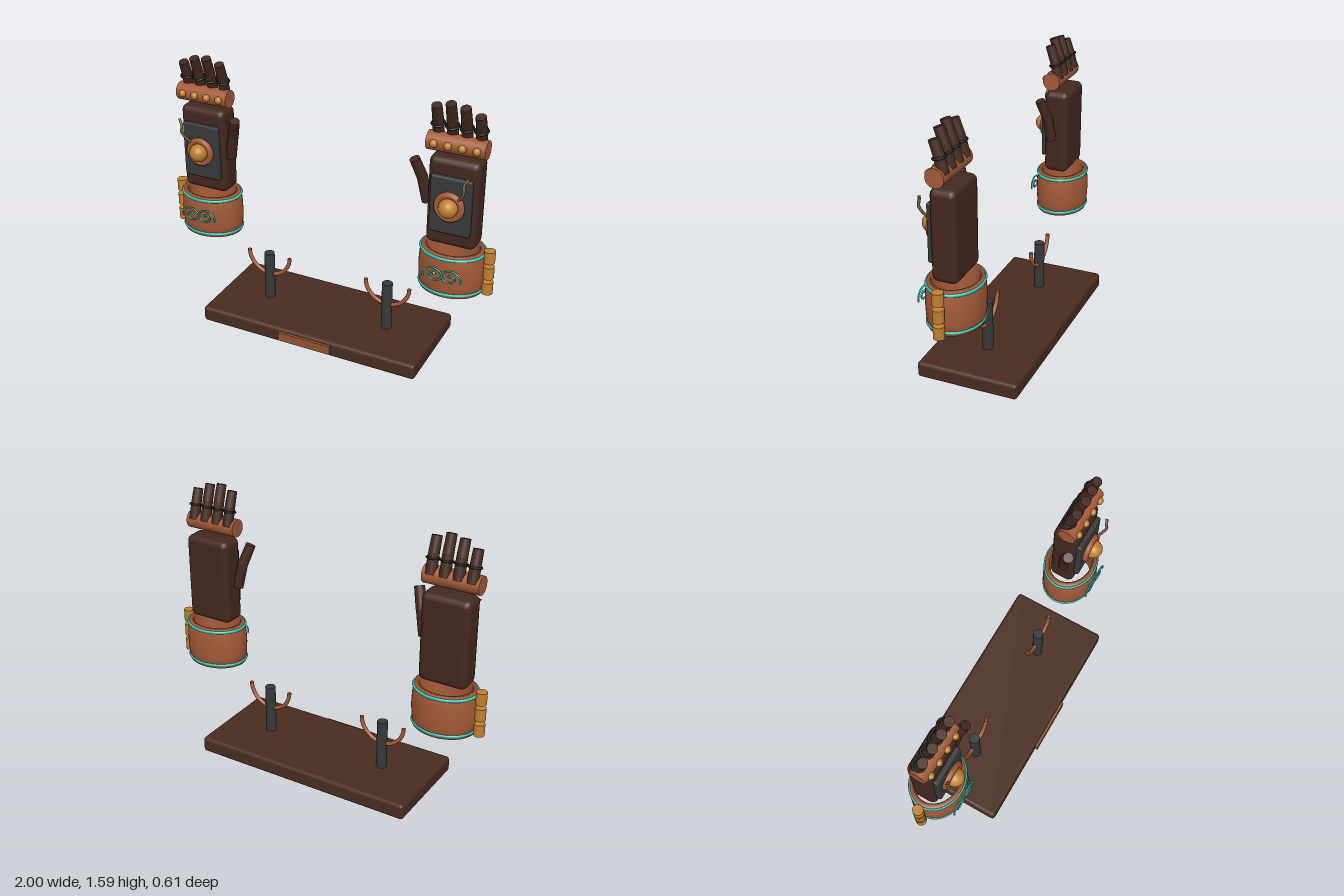
import * as THREE from 'three';
import { RoundedBoxGeometry } from 'three/addons/geometries/RoundedBoxGeometry.js';

const mat = (name, color) => {
  const m = new THREE.MeshStandardMaterial({ color });
  m.name = name;
  return m;
};

export function createModel() {
  const wood = mat('dark wood', 0x4a2c20);
  const leather = mat('dark leather', 0x432820);
  const copper = mat('copper', 0xa35a38);
  const plaqueBronze = mat('plaque bronze', 0x95542f);
  const brass = mat('brass', 0xc08030);
  const teal = mat('teal inlay', 0x2fc8b8);
  const iron = mat('dark iron', 0x37393a);
  const black = mat('black band', 0x1e1e1e);
  const wire = mat('dull wire', 0x7a6040);

  const model = new THREE.Group();
  model.name = 'gauntletsOnStand';
  const V = (x, y, z) => new THREE.Vector3(x, y, z);
  const UP = V(0, 1, 0);

  const add = (parent, name, geometry, material, x = 0, y = 0, z = 0) => {
    const mesh = new THREE.Mesh(geometry, material);
    mesh.name = name;
    mesh.position.set(x, y, z);
    parent.add(mesh);
    return mesh;
  };
  const box = (w, h, d, r) => new RoundedBoxGeometry(w, h, d, 2, r);
  const tube = (points, r, n = 40) =>
    new THREE.TubeGeometry(new THREE.CatmullRomCurve3(points), n, r, 8);

  // A round segment running from a to b
  const rod = (parent, name, a, b, ra, rb, material) => {
    const mid = a.clone().add(b).multiplyScalar(0.5);
    const m = add(parent, name, new THREE.CylinderGeometry(rb, ra, a.distanceTo(b), 16), material, ...mid);
    m.quaternion.setFromUnitVectors(UP, b.clone().sub(a).normalize());
    return m;
  };

  // Stand: base board, plaque, posts with half-ring cradles
  add(model, 'base', box(1.36, 0.095, 0.595, 0.02), wood, 0, 0.0475, -0.005);
  add(model, 'plaque', new THREE.BoxGeometry(0.33, 0.055, 0.03), plaqueBronze, 0, 0.05, 0.293);
  for (const s of [-1, 1]) {
    add(model, 'post', new THREE.CylinderGeometry(0.031, 0.031, 0.31, 20), iron, s * 0.383, 0.237, -0.004);
    const cradle = add(model, 'cradle', new THREE.TorusGeometry(0.135, 0.012, 10, 32, Math.PI), copper, s * 0.383, 0.385, -0.004);
    cradle.rotation.z = Math.PI;
  }

  // Cuff profile: hollow, slightly barrelled
  const cuffProfile = [
    [0.15, 0.49], [0.178, 0.49], [0.185, 0.55], [0.188, 0.61], [0.186, 0.67],
    [0.18, 0.73], [0.172, 0.743], [0.148, 0.743], [0.15, 0.49],
  ].map(([r, y]) => new THREE.Vector2(r, y));
  const FLAT = 0.82;

  // s = -1 is the model's right hand, s = 1 its left; u measures outwards from the hand's middle
  const makeGauntlet = (s) => {
    const g = new THREE.Group();
    g.name = s < 0 ? 'rightGauntlet' : 'leftGauntlet';
    g.position.set(s * 0.761, 0, -0.004);
    model.add(g);

    // Cuff with its teal edge rings
    const cuff = add(g, 'cuff', new THREE.LatheGeometry(cuffProfile, 48), copper);
    cuff.material.side = THREE.DoubleSide;
    cuff.scale.z = FLAT;
    for (const y of [0.51, 0.727]) {
      const ring = add(g, 'cuffRing', new THREE.TorusGeometry(0.179, 0.009, 8, 56), teal, 0, y, 0);
      ring.rotation.x = Math.PI / 2;
      ring.scale.y = FLAT;
    }

    // Hinge barrels on the outer side
    for (const y of [0.53, 0.626, 0.722])
      add(g, 'hingeBarrel', new THREE.CylinderGeometry(0.031, 0.031, 0.072, 20), brass, s * 0.208, y, 0);

    // Paired scrolls on the cuff front
    for (const side of [-1, 1]) {
      const pts = [];
      for (let i = 0; i <= 28; i++) {
        const t = i / 28;
        const a = Math.PI * (1.12 - 2.9 * t);
        const r = 0.064 - 0.05 * t;
        pts.push(V(side * (0.047 - r * Math.cos(a) * -1 * -1) + 0, 0.63 + r * Math.sin(a) * 0.8, 0.164));
      }
      add(g, 'scroll', tube(pts, 0.005, 70), teal);
      const peg = add(g, 'scrollPeg', new THREE.CylinderGeometry(0.006, 0.006, 0.045, 8), teal, side * 0.045, 0.637, 0.145);
      peg.rotation.x = Math.PI / 2;
    }

    // Hand block and the plate on its back
    add(g, 'hand', box(0.284, 0.513, 0.147, 0.036), leather, 0, 1.021, 0);
    add(g, 'backPlate', box(0.23, 0.33, 0.06, 0.01), iron, 0, 1.02, 0.069);

    // Round boss in a copper ring
    add(g, 'bossRing', new THREE.TorusGeometry(0.068, 0.018, 12, 36), copper, 0, 1.023, 0.108);
    add(g, 'boss', new THREE.SphereGeometry(0.053, 24, 16), brass, 0, 1.023, 0.125);

    // Curled wire rising from the boss
    add(g, 'wire', tube([
      V(s * 0.05, 1.076, 0.115), V(s * 0.075, 1.11, 0.135), V(s * 0.09, 1.15, 0.15),
      V(s * 0.088, 1.185, 0.147), V(s * 0.108, 1.222, 0.136),
    ], 0.008), wire);

    // Thumb on the inner side, in two segments
    const t0 = V(s * -0.155, 0.985, 0.02), t1 = V(s * -0.182, 1.128, 0.035), t2 = V(s * -0.217, 1.242, 0.07);
    rod(g, 'thumbBase', t0, t1, 0.03, 0.03, leather);
    add(g, 'thumbJoint', new THREE.SphereGeometry(0.03, 16, 10), leather, ...t1);
    rod(g, 'thumbTip', t1, t2, 0.031, 0.029, leather);

    // Knuckle bar with rivets
    const bar = add(g, 'knuckleBar', new THREE.CylinderGeometry(0.052, 0.052, 0.325, 28), copper, 0, 1.347, 0.022);
    bar.rotation.z = Math.PI / 2;

    // Fingers from the outer to the inner side
    [1.532, 1.568, 1.58, 1.556].forEach((top, i) => {
      const x = s * (0.118 - i * 0.0785);
      add(g, 'rivet', new THREE.SphereGeometry(0.022, 16, 12), brass, x, 1.35, 0.072);
      const a = V(x, 1.36, -0.008);
      const jointY = 1.36 + (top - 1.36) * 0.55;
      const b = V(x, jointY, -0.008 + (jointY - 1.36) * 0.25);
      const c = V(x, top, b.z + (top - jointY) * 0.34);
      rod(g, 'fingerBase', a, b, 0.031, 0.03, leather);
      add(g, 'fingerJoint', new THREE.SphereGeometry(0.03, 16, 10), leather, ...b);
      rod(g, 'fingerTip', b, c, 0.03, 0.028, leather);
      const band = add(g, 'fingerBand', new THREE.TorusGeometry(0.034, 0.006, 8, 24), black, x, 1.443, 0.013);
      band.rotation.x = Math.PI / 2 + 0.25;
    });
  };
  makeGauntlet(-1);
  makeGauntlet(1);
  return model;
}
